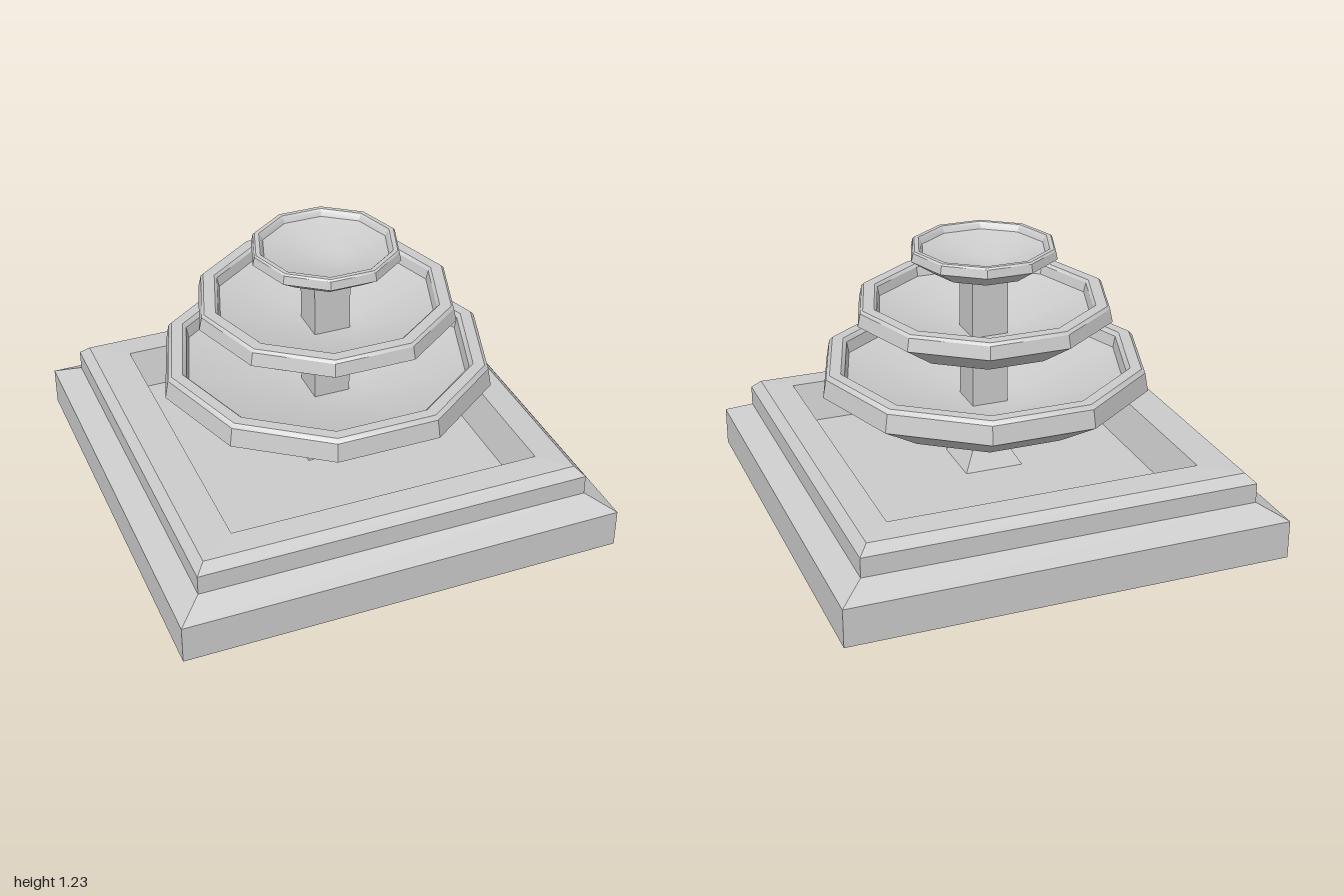
import * as THREE from 'three';
import { toCreasedNormals } from 'three/addons/utils/BufferGeometryUtils.js';

const SIDES = 10;
const CX = 0.015, CZ = 0.03; // axis of the pillar and bowls

const smooth = new THREE.MeshStandardMaterial({ color: 0xcccccc });
const flat = new THREE.MeshStandardMaterial({ color: 0xcccccc, flatShading: true });

// Skin a stack of rectangles, each given as [halfX, halfZ, y, centreX, centreZ]
function rectLoft(rings) {
  const pos = [], index = [];
  rings.forEach(([hx, hz, y, cx = 0, cz = 0]) => {
    pos.push(cx + hx, y, cz + hz, cx + hx, y, cz - hz, cx - hx, y, cz - hz, cx - hx, y, cz + hz);
  });
  for (let i = 0; i < rings.length - 1; i++) {
    for (let k = 0; k < 4; k++) {
      const a = i * 4 + k, b = i * 4 + (k + 1) % 4;
      index.push(a, b, b + 4, a, b + 4, a + 4);
    }
  }
  const geo = new THREE.BufferGeometry();
  geo.setAttribute('position', new THREE.Float32BufferAttribute(pos, 3));
  geo.setIndex(index);
  const out = geo.toNonIndexed();
  out.computeVertexNormals();
  return out;
}

function addMesh(group, name, geometry, material) {
  const mesh = new THREE.Mesh(geometry, material);
  mesh.name = name;
  group.add(mesh);
  return mesh;
}

// Ten-sided dish with a chamfered lip and a shallow conical inside
function bowlGeometry({ bottom, belly, top, footR, bellyR, lipR, innerR, wellR, wellY, wallY }) {
  const chamfer = (top - belly) * 0.17;
  const profile = [
    [0, bottom], [footR, bottom], [bellyR, belly],
    [lipR, top - chamfer], [lipR - chamfer, top],
    [innerR + chamfer, top], [innerR, top - chamfer],
    [innerR - 0.01, wallY], [wellR, wellY], [0, wellY],
  ].map(([r, y]) => new THREE.Vector2(r, y));
  const lathe = new THREE.LatheGeometry(profile, SIDES, Math.PI / 2);
  return toCreasedNormals(lathe, Math.PI / 6);
}

export function createModel() {
  const fountain = new THREE.Group();
  fountain.name = 'fountain';

  // Stepped square base with the sunken pool
  const px = 0.018, pz = 0.005;
  addMesh(fountain, 'basePool', rectLoft([
    [0, 0, 0], [1, 1, 0], [1, 1, 0.175],
    [0.89, 0.89, 0.235], [0.89, 0.89, 0.325], [0.85, 0.85, 0.365],
    [0.705, 0.725, 0.37, px, pz], [0.66, 0.685, 0.19, px, pz], [0, 0, 0.19, px, pz],
  ]), flat);

  // Square pillar with a flared foot
  addMesh(fountain, 'pillar', rectLoft([
    [0.135, 0.135, 0.19], [0.083, 0.083, 0.28], [0.083, 0.083, 1.13], [0, 0, 1.13],
  ]), flat).position.set(CX, 0, CZ);

  // Three tiers of bowls
  const tiers = {
    lowerBowl: { bottom: 0.47, belly: 0.61, top: 0.71, footR: 0.525, bellyR: 0.75, lipR: 0.735,
      innerR: 0.65, wellR: 0.2, wellY: 0.495, wallY: 0.64 },
    middleBowl: { bottom: 0.805, belly: 0.92, top: 0.99, footR: 0.41, bellyR: 0.583, lipR: 0.57,
      innerR: 0.495, wellR: 0.155, wellY: 0.825, wallY: 0.935 },
    upperBowl: { bottom: 1.12, belly: 1.185, top: 1.23, footR: 0.235, bellyR: 0.333, lipR: 0.325,
      innerR: 0.29, wellR: 0.09, wellY: 1.14, wallY: 1.2 },
  };
  for (const [name, spec] of Object.entries(tiers)) {
    addMesh(fountain, name, bowlGeometry(spec), smooth).position.set(CX, 0, CZ);
  }

  return fountain;
}
